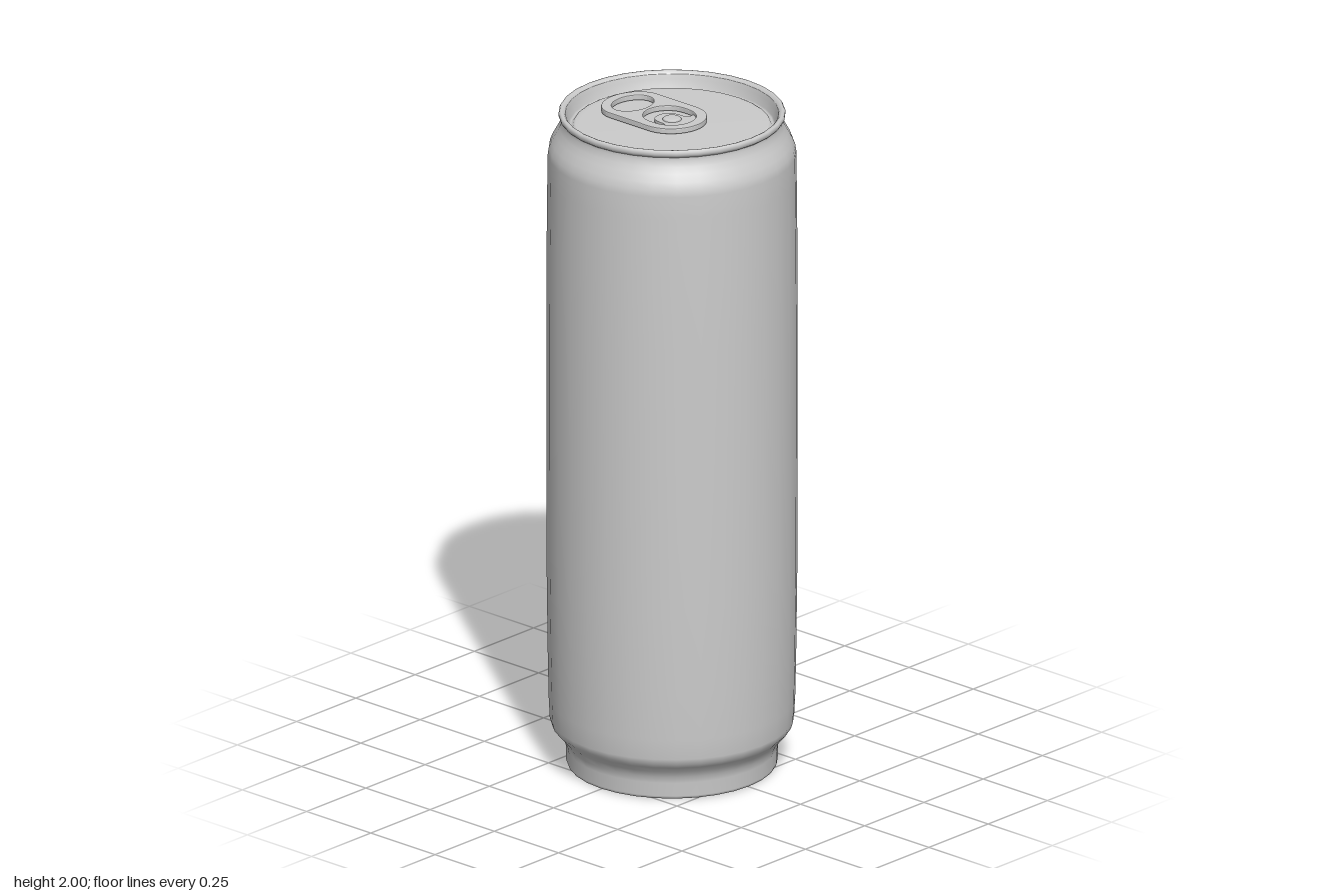
import * as THREE from 'three';

const SEGMENTS = 32;

export function createModel() {
  const can = new THREE.Group();
  can.name = 'drinkCan';
  const metal = new THREE.MeshStandardMaterial({ color: 0xcccccc });

  const add = (name, geometry, parent = can) => {
    const mesh = new THREE.Mesh(geometry, metal);
    mesh.name = name;
    parent.add(mesh);
    return mesh;
  };
  const lathe = (points, segments = SEGMENTS) =>
    new THREE.LatheGeometry(points.map(([r, y]) => new THREE.Vector2(r, y)), segments);

  // Domed underside, hollowed up into the can
  const dome = [];
  for (let i = 0; i <= 10; i++) {
    const r = 0.285 * Math.sin((i / 10) * Math.PI / 2);
    dome.push([r, 0.01 + 0.1 * (1 - (r / 0.285) ** 2)]);
  }
  add('baseDome', lathe([...dome, [0.288, 0.003], [0.293, 0]]));

  // Foot, slightly barrelled wall and shoulder
  add('body', lathe([
    [0.293, 0], [0.3, 0.002], [0.303, 0.01], [0.303, 0.05], [0.307, 0.07],
    [0.317, 0.09], [0.333, 0.108], [0.345, 0.122], [0.35, 0.14], [0.353, 0.2],
    [0.356, 0.35], [0.359, 0.6], [0.36, 1], [0.36, 1.4], [0.359, 1.6],
    [0.357, 1.8], [0.356, 1.87], [0.353, 1.89], [0.345, 1.91], [0.333, 1.932],
    [0.323, 1.95], [0.317, 1.967], [0.317, 1.977],
  ]));

  // Rolled rim
  add('rim', lathe([
    [0.317, 1.977], [0.322, 1.981], [0.325, 1.987], [0.325, 1.994],
    [0.322, 1.999], [0.317, 2], [0.311, 1.998], [0.306, 1.992],
  ]));

  // Sunken lid with a groove around its panel
  add('lid', lathe([
    [0.306, 1.992], [0.302, 1.978], [0.296, 1.955], [0.292, 1.95],
    [0.287, 1.951], [0.283, 1.957], [0.277, 1.96], [0.26, 1.961], [0, 1.961],
  ]));

  // Pull tab: shapes are drawn with +y toward the back, then laid flat
  const tab = new THREE.Group();
  tab.name = 'pullTab';
  tab.position.y = 1.961;
  can.add(tab);
  const plate = (name, shape, y, depth, bevel) => {
    const geometry = new THREE.ExtrudeGeometry(shape, {
      depth: depth - 2 * bevel, curveSegments: 20, bevelSegments: 2,
      bevelEnabled: bevel > 0, bevelSize: bevel, bevelThickness: bevel, bevelOffset: -bevel,
    });
    geometry.rotateX(-Math.PI / 2).translate(0, y + bevel, 0);
    return add(name, geometry, tab);
  };

  const outline = new THREE.Shape();
  outline.moveTo(0.102, 0);
  outline.lineTo(0.102, 0.15);
  outline.absellipse(0, 0.15, 0.102, 0.084, 0, Math.PI);
  outline.lineTo(-0.102, 0);
  outline.absellipse(0, 0, 0.102, 0.099, Math.PI, Math.PI * 2);

  const fingerHole = new THREE.Path();
  fingerHole.moveTo(0.07, 0.153);
  fingerHole.absellipse(0, 0.153, 0.07, 0.052, 0, Math.PI * 2, true);
  const rivetHole = new THREE.Path();
  rivetHole.moveTo(0.07, 0.0);
  rivetHole.absellipse(0, 0, 0.07, 0.068, 0, Math.PI, true);
  rivetHole.lineTo(-0.07, 0.02);
  rivetHole.absellipse(0, 0.02, 0.07, 0.067, Math.PI, 0, true);
  outline.holes.push(fingerHole, rivetHole);
  plate('tabRing', outline, 0.004, 0.017, 0.003);

  // Lower tongue that joins the tab to the rivet
  const tongue = new THREE.Shape();
  tongue.moveTo(0.067, -0.02);
  tongue.quadraticCurveTo(0.043, -0.028, 0.041, 0);
  tongue.bezierCurveTo(0.041, 0.035, 0.03, 0.051, 0, 0.051);
  tongue.bezierCurveTo(-0.03, 0.051, -0.041, 0.035, -0.041, 0);
  tongue.quadraticCurveTo(-0.043, -0.028, -0.067, -0.02);
  tongue.absellipse(0, 0, 0.07, 0.068, Math.PI * 1.094, Math.PI * 1.906);
  plate('tabTongue', tongue, 0.002, 0.009, 0);

  // Rivet button
  add('rivet', lathe([
    [0.027, 0], [0.027, 0.013], [0.024, 0.016], [0.016, 0.017], [0, 0.017],
  ], 20), tab);

  return can;
}
